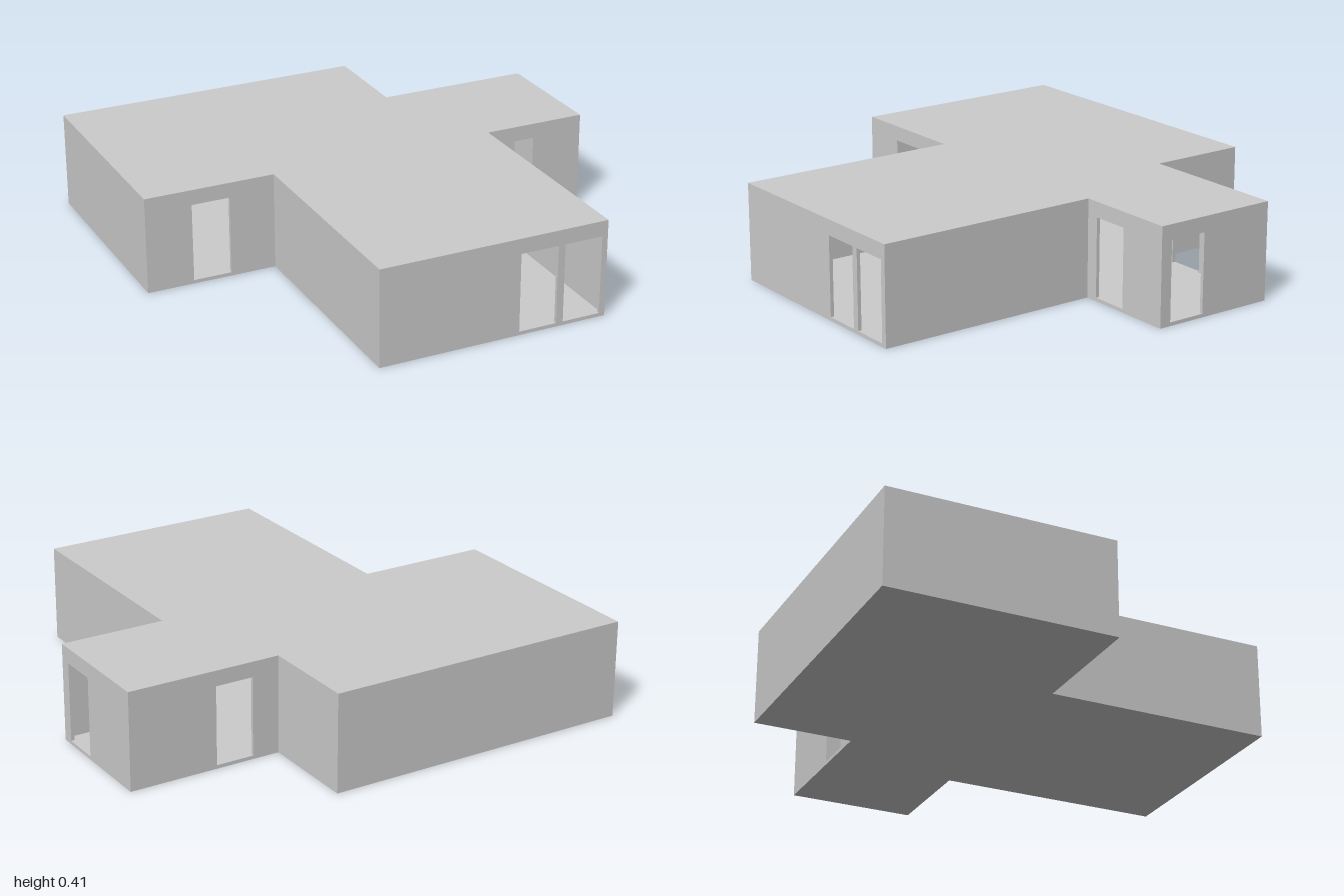
import * as THREE from 'three';

const H = 0.415, T = 0.015, DOOR_TOP = 0.35;

// Footprint corners [x, z], with the doors in the wall that starts at each corner
// (door ranges are x positions, or z positions for walls running along z)
const corners = [
  { p: [-1, -0.97], name: 'backWall' },
  { p: [0.34, -0.97], name: 'backSideWall' },
  { p: [0.34, -0.545], name: 'leftWingBackWall', doors: [[0.455, 0.62]] },
  { p: [1, -0.545], name: 'leftWingEndWall', doors: [[-0.215, -0.05]] },
  { p: [1, 0], name: 'leftWingFrontWall', doors: [[0.77, 0.605]] },
  { p: [0.55, 0], name: 'frontRoomLeftWall' },
  { p: [0.55, 0.97], name: 'frontWall', doors: [[0.525, 0.36], [0.33, 0.165]] },
  { p: [-0.44, 0.97], name: 'frontRoomRightWall' },
  { p: [-0.44, 0], name: 'rightWingFrontWall', doors: [[-0.635, -0.8]] },
  { p: [-1, 0], name: 'rightWingEndWall' },
];

export function createModel() {
  const model = new THREE.Group();
  model.name = 'building';
  const material = new THREE.MeshStandardMaterial({ color: 0xcccccc, flatShading: true });
  const add = (name, geometry) => {
    const mesh = new THREE.Mesh(geometry, material);
    mesh.name = name;
    model.add(mesh);
    return mesh;
  };
  const extrude = (points) => new THREE.ExtrudeGeometry(
    new THREE.Shape(points.map(([x, y]) => new THREE.Vector2(x, y))),
    { depth: T, bevelEnabled: false });

  // Floor and flat roof share the footprint
  const slab = extrude(corners.map(({ p }) => [p[0], -p[1]])).rotateX(-Math.PI / 2);
  add('floor', slab);
  add('roof', slab).position.y = H - T;

  const n = corners.length;
  const point = (i) => corners[(i + n) % n].p;
  // True where the footprint turns inward at a corner
  const isInner = (i) => {
    const [a, b, c] = [point(i - 1), point(i), point(i + 1)];
    return (b[0] - a[0]) * (c[1] - b[1]) - (b[1] - a[1]) * (c[0] - b[0]) < 0;
  };

  // Thin walls between the slabs, with notches cut up from the floor for doors
  corners.forEach(({ p: a, name, doors = [] }, i) => {
    const b = point(i + 1);
    const dx = b[0] - a[0], dz = b[1] - a[1];
    const start = isInner(i) ? -T : 0;
    const end = Math.hypot(dx, dz) + (isInner(i + 1) ? T : 0);
    const axis = Math.abs(dx) > Math.abs(dz) ? 0 : 1;
    const outline = [[start, T]];
    for (const door of doors) {
      const [d0, d1] = door.map((v) => Math.abs(v - a[axis]));
      outline.push([d0, T], [d0, DOOR_TOP], [d1, DOOR_TOP], [d1, T]);
    }
    outline.push([end, T], [end, H - T], [start, H - T]);
    const wall = add(name, extrude(outline));
    wall.position.set(a[0], 0, a[1]);
    wall.rotation.y = Math.atan2(-dz, dx);
  });

  return model;
}
